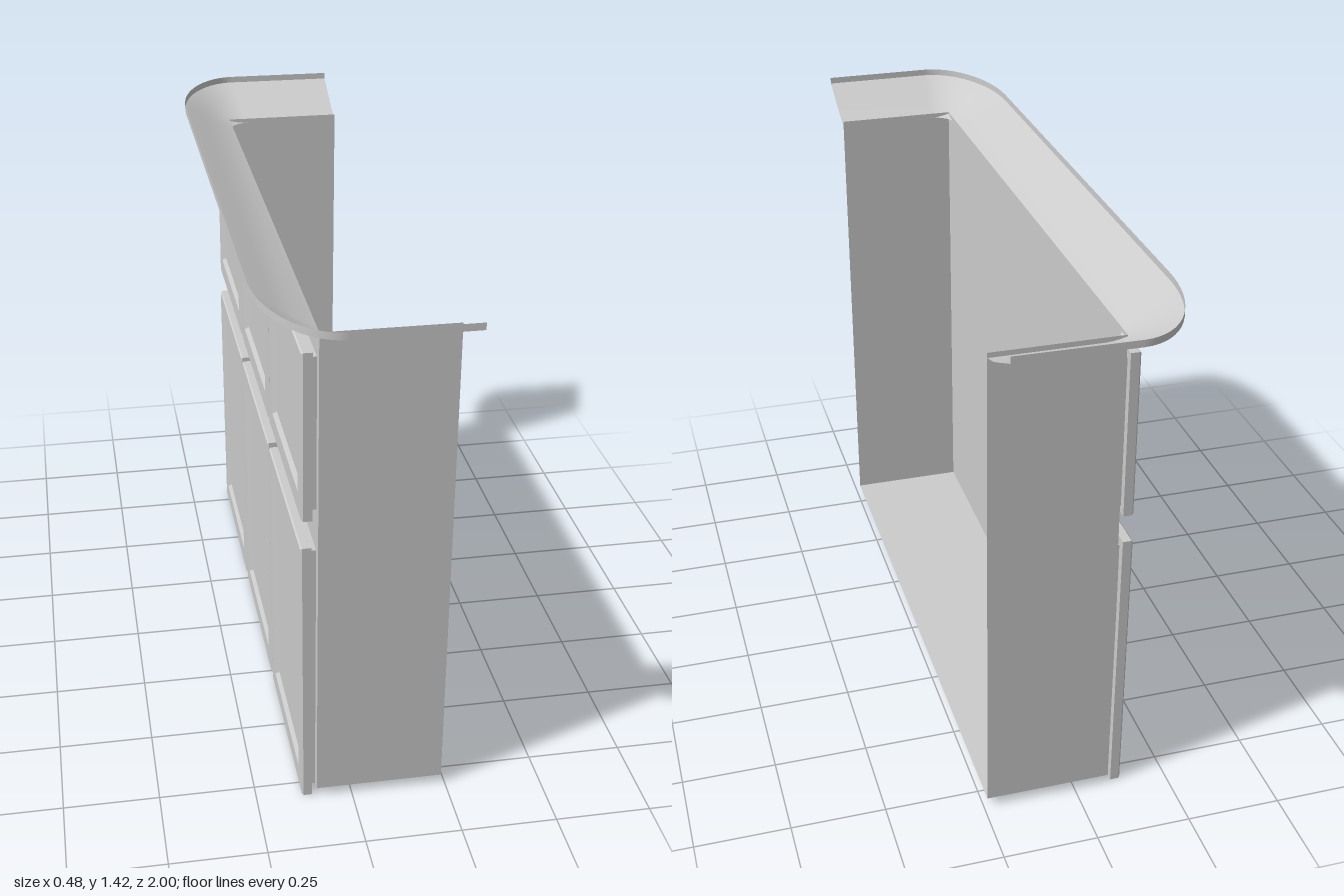
import * as THREE from 'three';

const mat = new THREE.MeshStandardMaterial({ color: 0xcccccc, side: THREE.DoubleSide });
const lerp = THREE.MathUtils.lerp;

// Rectangular panel facing +z, shaped by stepped rings of [inset, depth]
function framedPanel(w, h, profile) {
  const rings = profile.map(([i, d]) => {
    const x = w / 2 - i, y = h / 2 - i;
    return [[-x, -y, d], [x, -y, d], [x, y, d], [-x, y, d]];
  });
  const pos = [];
  const quad = (a, b, c, d) => pos.push(...a, ...b, ...c, ...a, ...c, ...d);
  for (let k = 0; k < rings.length - 1; k++) {
    for (let j = 0; j < 4; j++) {
      const n = (j + 1) % 4;
      quad(rings[k][j], rings[k][n], rings[k + 1][n], rings[k + 1][j]);
    }
  }
  quad(...rings[rings.length - 1]);
  const g = new THREE.BufferGeometry();
  g.setAttribute('position', new THREE.Float32BufferAttribute(pos, 3));
  g.computeVertexNormals();
  return g;
}

// U-shaped path round the cabinet; t runs from the inner edge (0) to the outer (1)
function crownPath(t) {
  const X = lerp(-0.095, -0.24, t), Z = lerp(0.81, 0.998, t);
  const rx = lerp(0.06, 0.18, t), rz = lerp(0.06, 0.32, t);
  const half = [[0.24, Z - 0.003 * t]];
  for (let i = 0; i <= 16; i++) {
    const a = (i / 16) * Math.PI / 2;
    half.push([X + rx - rx * Math.sin(a), Z - rz + rz * Math.cos(a)]);
  }
  return [...half, ...half.slice().reverse().map(([x, z]) => [x, -z])];
}

// Surface through a section of [t, y] points swept along the crown path
function crownSurface(section) {
  const pos = [], index = [];
  let n = 0;
  section.forEach(([t, y], k) => {
    const path = crownPath(t);
    n = path.length;
    path.forEach(([x, z]) => pos.push(x, y, z));
    if (k === 0) return;
    for (let i = 0; i < n - 1; i++) {
      const a = (k - 1) * n + i, b = k * n + i;
      index.push(a, b, a + 1, b, b + 1, a + 1);
    }
  });
  const g = new THREE.BufferGeometry();
  g.setAttribute('position', new THREE.Float32BufferAttribute(pos, 3));
  g.setIndex(index);
  g.computeVertexNormals();
  return g;
}

export function createModel() {
  const model = new THREE.Group();
  const add = (parent, name, geo, x = 0, y = 0, z = 0) => {
    const m = new THREE.Mesh(geo, mat);
    m.name = name;
    m.position.set(x, y, z);
    parent.add(m);
    return m;
  };

  // Open shell: no top and no +x side
  const x0 = -0.093, x1 = 0.24, y0 = 0.025, y1 = 1.333, zs = 0.81;
  const depth = x1 - x0, height = y1 - y0, cx = (x0 + x1) / 2, cy = (y0 + y1) / 2;
  const body = new THREE.Group();
  body.name = 'cabinetShell';
  model.add(body);
  add(body, 'doorWall', new THREE.PlaneGeometry(2 * zs, height).rotateY(-Math.PI / 2), x0, cy, 0);
  add(body, 'endWallFront', new THREE.PlaneGeometry(depth, height), cx, cy, zs);
  add(body, 'endWallBack', new THREE.PlaneGeometry(depth, height).rotateY(Math.PI), cx, cy, -zs);
  add(body, 'floor', new THREE.PlaneGeometry(depth, 2 * zs).rotateX(Math.PI / 2), cx, y0, 0);

  // Flared crown moulding with an upright lip
  const crown = new THREE.Group();
  crown.name = 'crownMoulding';
  model.add(crown);
  add(crown, 'crownFlare', crownSurface([[0, 1.32], [0.3, 1.338], [0.6, 1.363], [0.85, 1.385], [1, 1.397]]));
  add(crown, 'crownLip', crownSurface([[1, 1.397], [1, 1.415]]));

  // Two rows of three framed doors, each on a thin backing
  const profile = [[0.03, 0], [0, 0], [0, 0.023], [0.004, 0.027], [0.055, 0.027], [0.068, 0.017]];
  const rows = [
    { name: 'upperDoor', bottom: 0.835, top: 1.28, tilt: 0 },
    { name: 'lowerDoor', bottom: 0, top: 0.76, tilt: 0.006 },
  ];
  for (const { name, bottom, top, tilt } of rows) {
    const h = top - bottom, w = 0.518, y = (top + bottom) / 2;
    for (const z of [-0.543, 0, 0.543]) {
      const door = new THREE.Group();
      door.name = name;
      door.position.set(-0.106, y, z);
      model.add(door);
      const leaf = add(door, 'doorFrame', framedPanel(w, h, profile).rotateY(-Math.PI / 2));
      leaf.rotation.z = tilt;
      add(door, 'doorBacking', new THREE.BoxGeometry(0.014, h - 0.04, w - 0.04), 0.006, 0, 0);
    }
  }
  return model;
}
